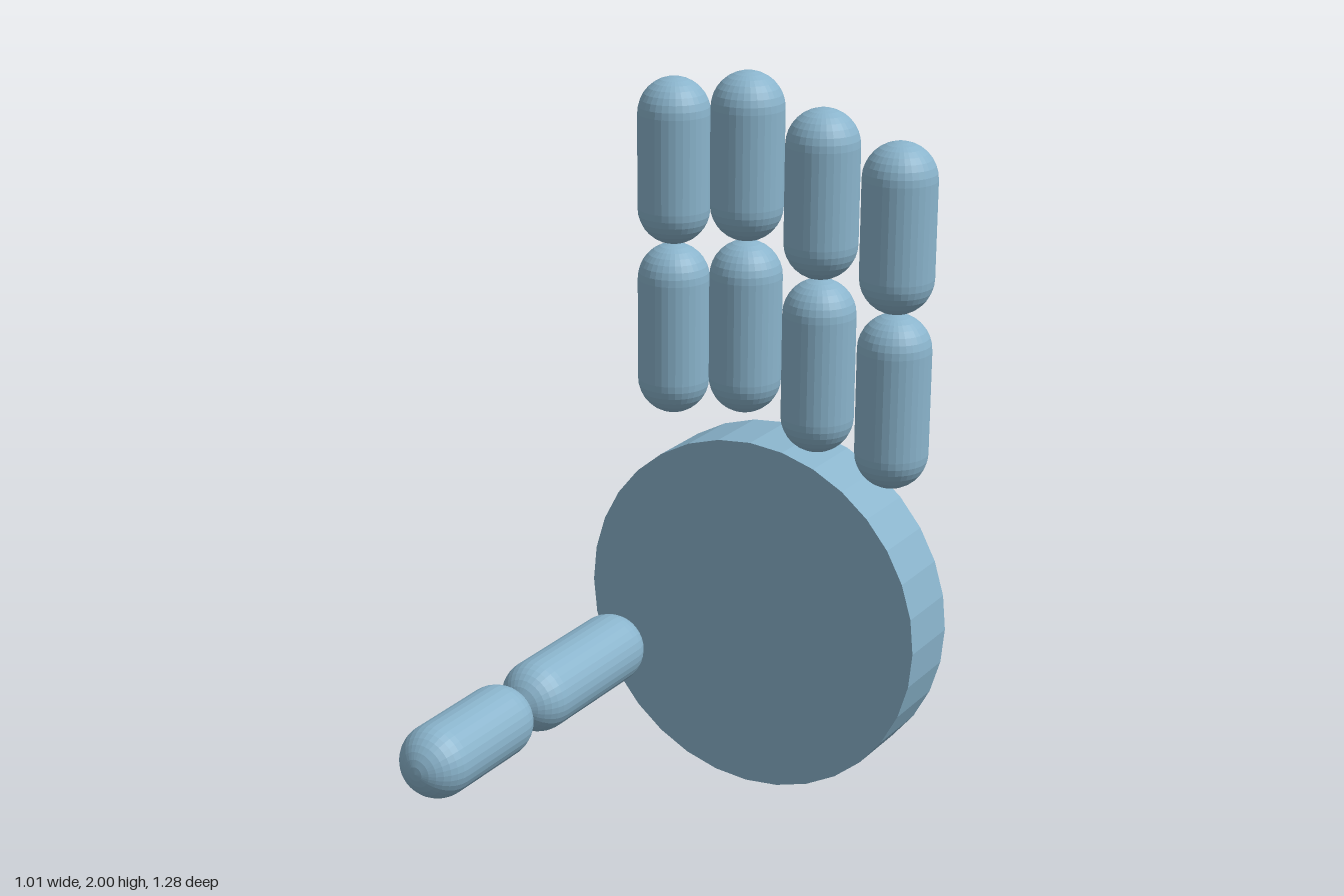
import * as THREE from 'three';

const SIDES = 32;
const RADIUS = 0.098; // finger thickness
const FINGER_Z = -0.518;

export function createModel() {
  const model = new THREE.Group();
  model.name = 'hand';
  const material = new THREE.MeshStandardMaterial({ color: 0x8ab4cc, flatShading: true });

  // Rounded finger segment spanning from..to along y
  function segment(name, from, to) {
    const geometry = new THREE.CapsuleGeometry(RADIUS, to - from - 2 * RADIUS, 8, SIDES);
    const mesh = new THREE.Mesh(geometry, material);
    mesh.name = name;
    mesh.position.y = (from + to) / 2;
    return mesh;
  }

  // Two segments end to end, starting at the group's origin
  function digit(name, lower, upper) {
    const group = new THREE.Group();
    group.name = name;
    group.add(segment('lowerSegment', 0, lower), segment('upperSegment', lower, lower + upper));
    model.add(group);
    return group;
  }

  // Palm: upright disc facing forward
  const palm = new THREE.Mesh(new THREE.CylinderGeometry(0.505, 0.505, 0.197, SIDES), material);
  palm.name = 'palm';
  palm.rotation.x = Math.PI / 2;
  palm.position.set(0, 0.505, -0.543);
  model.add(palm);

  // Four fingers: x and height of the base
  const fingers = [
    ['indexFinger', -0.285, 1.03],
    ['middleFinger', -0.06, 1.07],
    ['ringFinger', 0.163, 0.998],
    ['littleFinger', 0.386, 0.938],
  ];
  for (const [name, x, y] of fingers) {
    digit(name, 0.477, 0.453).position.set(x, y, FINGER_Z);
  }

  // Thumb: points straight forward, in front of the palm
  const thumb = digit('thumb', 0.543, 0.453);
  thumb.rotation.x = Math.PI / 2;
  thumb.position.set(-0.337, 0.396, -0.355);

  return model;
}
